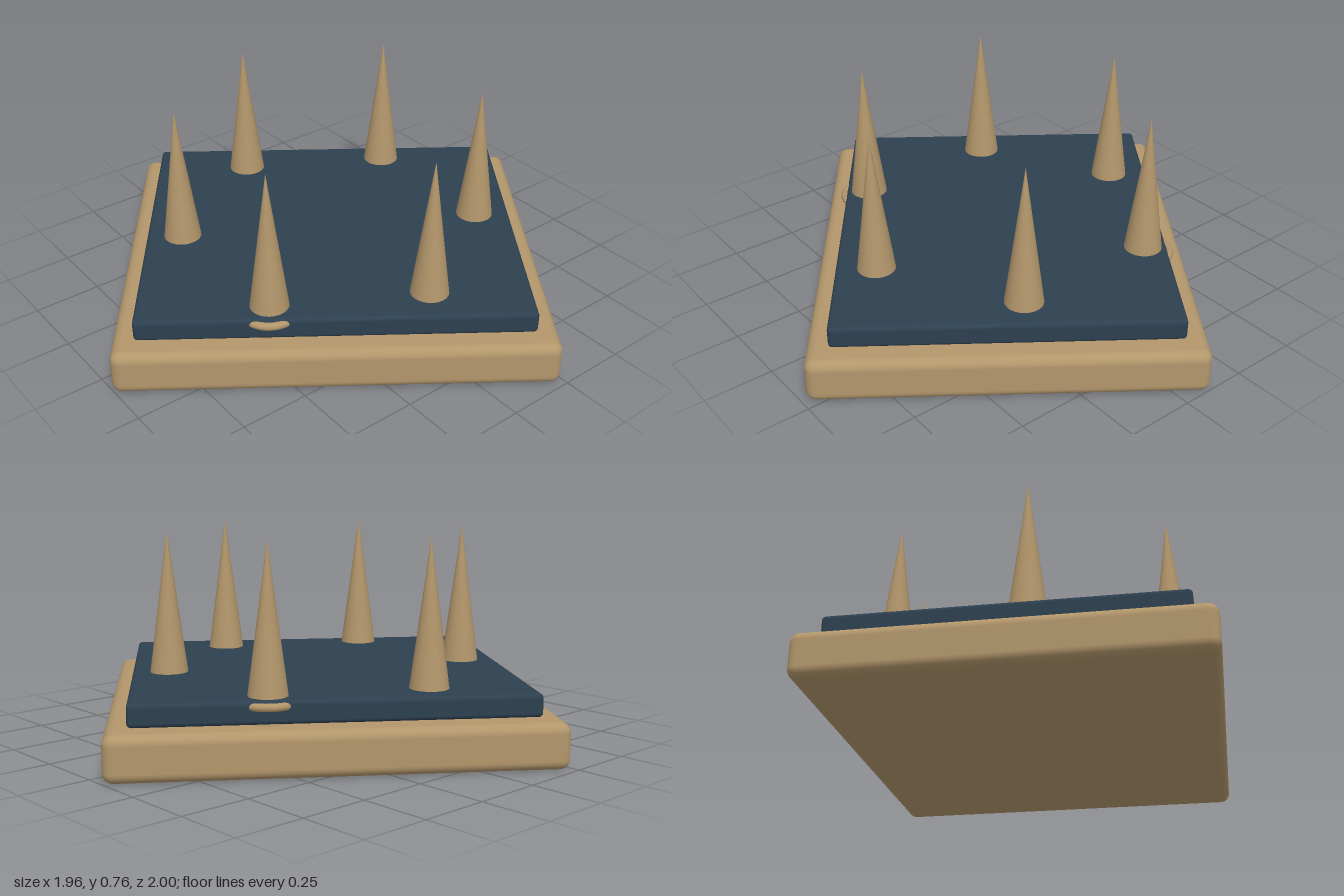
import * as THREE from 'three';
import { RoundedBoxGeometry } from 'three/addons/geometries/RoundedBoxGeometry.js';

export function createModel() {
  const model = new THREE.Group();
  model.name = 'spikedBoard';

  const tan = new THREE.MeshStandardMaterial({ color: 0xb2966b });
  tan.name = 'tan';
  const navy = new THREE.MeshStandardMaterial({ color: 0x2d4050 });
  navy.name = 'navy';

  const add = (name, geometry, material, parent, x, y, z) => {
    const mesh = new THREE.Mesh(geometry, material);
    mesh.name = name;
    mesh.position.set(x, y, z);
    parent.add(mesh);
    return mesh;
  };

  // Rounded base and inset slab, turned together
  const board = new THREE.Group();
  board.name = 'board';
  board.rotation.y = -Math.PI / 5;
  model.add(board);
  add('base', new RoundedBoxGeometry(1.346, 0.16, 1.528, 5, 0.035), tan, board, 0, 0.08, 0);
  add('slab', new RoundedBoxGeometry(1.192, 0.08, 1.374, 4, 0.015), navy, board, 0, 0.205, 0);

  // Six spikes in a hexagon, each with a collar ring set into the slab
  const spikeGeometry = new THREE.ConeGeometry(0.08, 0.6, 32);
  const collarGeometry = new THREE.TorusGeometry(0.097, 0.014, 12, 40).rotateX(Math.PI / 2);
  for (let i = 0; i < 6; i++) {
    const angle = (i * Math.PI) / 3;
    const x = 0.557 * Math.cos(angle);
    const z = 0.557 * Math.sin(angle);
    add('spike' + (i + 1), spikeGeometry, tan, model, x, 0.46, z);
    add('collar' + (i + 1), collarGeometry, tan, model, x, 0.225, z);
  }
  return model;
}
